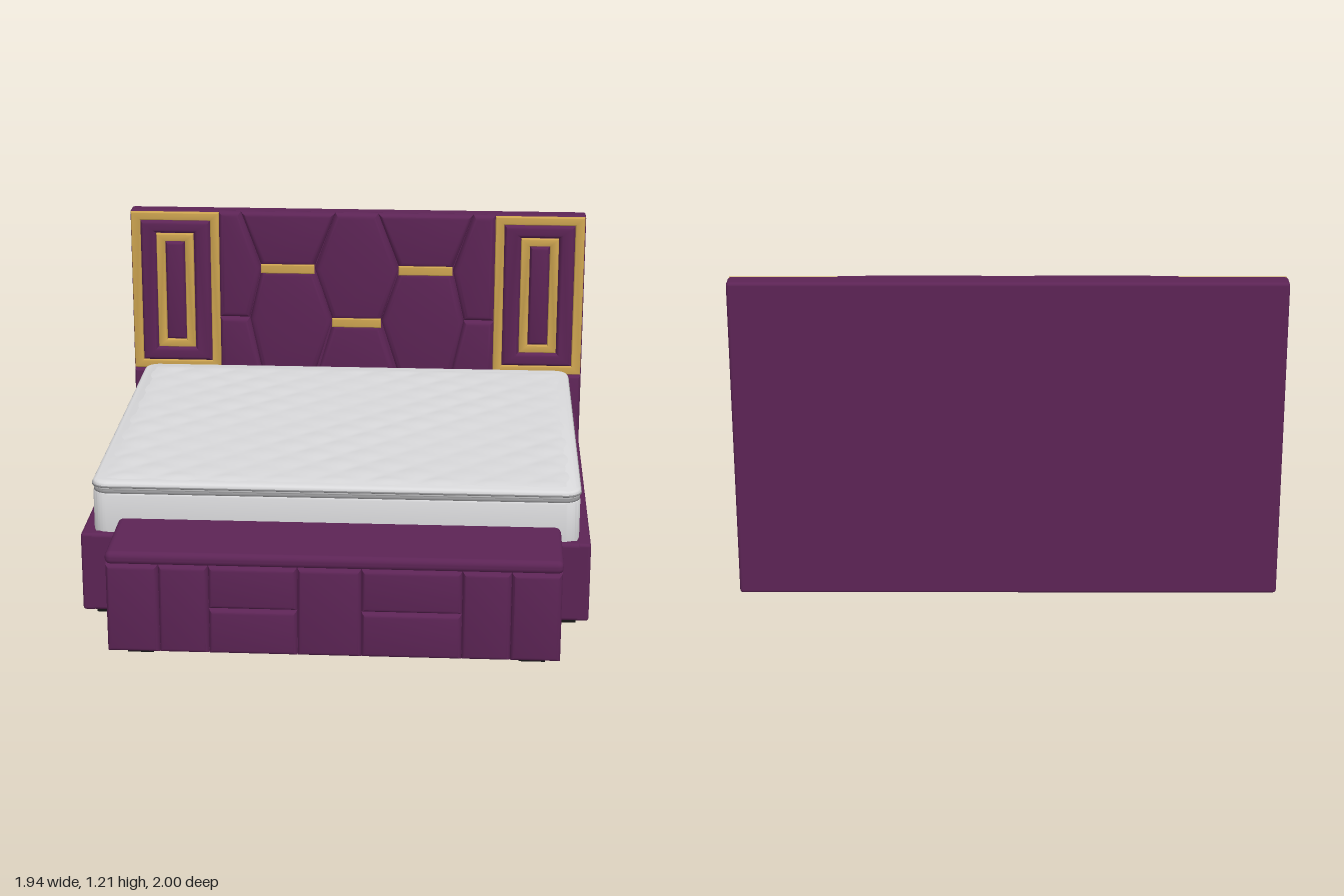
import * as THREE from 'three';
import { toCreasedNormals } from 'three/addons/utils/BufferGeometryUtils.js';
import { RoundedBoxGeometry } from 'three/addons/geometries/RoundedBoxGeometry.js';

const material = (name, color) => {
  const m = new THREE.MeshStandardMaterial({ color });
  m.name = name;
  return m;
};

export function createModel() {
  const velvet = material('purple velvet', 0x5c2455);
  const gold = material('gold trim', 0xcda450);
  const fabric = material('mattress fabric', 0xd8d8da);
  const piping = material('grey piping', 0x8e8e90);
  const rubber = material('black feet', 0x151515);

  const model = new THREE.Group();
  model.name = 'bed';
  const group = (name) => {
    const g = new THREE.Group();
    g.name = name;
    model.add(g);
    return g;
  };
  const add = (parent, name, geometry, mat) => {
    const mesh = new THREE.Mesh(geometry, mat);
    mesh.name = name;
    parent.add(mesh);
    return mesh;
  };

  // Rounded box given by its extents
  const block = (parent, name, x0, x1, y0, y1, z0, z1, r, mat = velvet) => {
    const g = new RoundedBoxGeometry(x1 - x0, y1 - y0, z1 - z0, 3, r);
    add(parent, name, g, mat).position.set((x0 + x1) / 2, (y0 + y1) / 2, (z0 + z1) / 2);
  };
  const rect = (x0, x1, y0, y1) => [[x0, y0], [x1, y0], [x1, y1], [x0, y1]];
  const outline = (pts) => pts.map(([x, y]) => new THREE.Vector2(x, y));

  // Padded panel: bevelled outline whose front face lies at the given z
  const pad = (parent, name, pts, front, mat = velvet, size = 0.025, thick = 0.028, hole = null) => {
    const shape = new THREE.Shape(outline(pts));
    if (hole) shape.holes.push(new THREE.Path(outline(hole).reverse()));
    const g = new THREE.ExtrudeGeometry(shape, {
      depth: 0.002, bevelThickness: thick, bevelSize: size, bevelOffset: -size, bevelSegments: 4,
    });
    g.translate(0, 0, front - thick - 0.002);
    add(parent, name, toCreasedNormals(g, 0.7), mat);
  };

  // Headboard
  const head = group('headboard');
  block(head, 'headboardSlab', -0.97, 0.97, 0.02, 1.21, -1, -0.927, 0.012);
  const F = -0.9;
  pad(head, 'centreHexagon', [[-0.105, 0.74], [0.105, 0.74], [0.18, 0.965], [0.09, 1.21], [-0.09, 1.21], [-0.18, 0.965]], F);
  pad(head, 'lowerCentrePad', [[-0.18, 0.46], [0.18, 0.46], [0.105, 0.72], [-0.105, 0.72]], F);
  pad(head, 'centreGoldBar', rect(-0.105, 0.105, 0.71, 0.75), -0.896, gold, 0.006, 0.006);
  for (const s of [-1, 1]) {
    const flip = (pts) => {
      const p = pts.map(([x, y]) => [x * s, y]);
      return s < 0 ? p.reverse() : p;
    };
    pad(head, 'sideHexagon', flip([[0.18, 0.5], [0.41, 0.5], [0.46, 0.74], [0.41, 0.955], [0.18, 0.955], [0.105, 0.74]]), F);
    pad(head, 'upperPad', flip([[0.18, 0.975], [0.41, 0.975], [0.495, 1.21], [0.09, 1.21]]), F);
    pad(head, 'upperSidePad', flip([[0.46, 0.745], [0.59, 0.745], [0.59, 1.21], [0.495, 1.21], [0.41, 0.965]]), F);
    pad(head, 'lowerSidePad', flip([[0.41, 0.5], [0.59, 0.5], [0.59, 0.745], [0.46, 0.745]]), F);
    pad(head, 'goldBar', flip(rect(0.18, 0.41, 0.945, 0.985)), -0.896, gold, 0.006, 0.006);
    // Framed wing panel
    pad(head, 'outerGoldFrame', flip(rect(0.588, 0.966, 0.51, 1.205)), -0.908, gold, 0.006, 0.012,
      flip(rect(0.627, 0.925, 0.548, 1.168)));
    pad(head, 'wingPad', flip(rect(0.625, 0.927, 0.546, 1.17)), F, velvet, 0.018, 0.028,
      flip(rect(0.698, 0.858, 0.608, 1.112)));
    pad(head, 'innerGoldFrame', flip(rect(0.698, 0.858, 0.608, 1.112)), -0.902, gold, 0.005, 0.012,
      flip(rect(0.736, 0.82, 0.642, 1.078)));
    pad(head, 'wingCentrePad', flip(rect(0.736, 0.82, 0.642, 1.078)), F, velvet, 0.015, 0.028);
    pad(head, 'wingLowerPad', flip(rect(0.588, 0.968, 0.025, 0.508)), F, velvet, 0.012, 0.028);
  }

  // Bed frame: base and padded rails
  const frame = group('bedFrame');
  block(frame, 'base', -0.93, 0.93, 0.03, 0.31, -0.93, 0.6, 0.01);
  block(frame, 'footRail', -0.95, 0.95, 0.03, 0.34, 0.575, 0.622, 0.015);
  for (const s of [-1, 1]) {
    for (const [z0, z1] of [[-0.93, 0.012], [0.012, 0.622]]) {
      const a = 0.9 * s, b = 0.952 * s;
      block(frame, 'sideRail', Math.min(a, b), Math.max(a, b), 0.03, 0.34, z0, z1, 0.012);
    }
  }

  // Mattress: stacked rounded slabs with a quilted top
  const mattress = group('mattress');
  const slab = (name, hx, z0, z1, y0, y1, bevel, mat) => {
    const r = 0.06, hz = (z1 - z0) / 2, s = new THREE.Shape();
    s.absarc(hx - r, hz - r, r, 0, Math.PI / 2);
    s.absarc(-hx + r, hz - r, r, Math.PI / 2, Math.PI);
    s.absarc(-hx + r, -hz + r, r, Math.PI, Math.PI * 1.5);
    s.absarc(hx - r, -hz + r, r, Math.PI * 1.5, Math.PI * 2);
    const g = new THREE.ExtrudeGeometry(s, {
      depth: y1 - y0 - 2 * bevel, bevelThickness: bevel, bevelSize: bevel, bevelOffset: -bevel,
      bevelSegments: 4, curveSegments: 8,
    });
    g.rotateX(-Math.PI / 2).translate(0, y0 + bevel, (z0 + z1) / 2);
    add(mattress, name, toCreasedNormals(g, 0.7), mat);
  };
  slab('mattressBody', 0.91, -0.893, 0.598, 0.3, 0.497, 0.012, fabric);
  slab('lowerPiping', 0.908, -0.893, 0.596, 0.49, 0.505, 0.005, piping);
  slab('pillowTop', 0.912, -0.895, 0.6, 0.502, 0.537, 0.016, fabric);
  slab('upperPiping', 0.914, -0.897, 0.602, 0.515, 0.523, 0.003, piping);
  const quilt = new THREE.PlaneGeometry(1.78, 1.45, 90, 74).rotateX(-Math.PI / 2);
  const p = quilt.attributes.position;
  for (let i = 0; i < p.count; i++) {
    const x = p.getX(i), z = p.getZ(i);
    const edge = Math.min(1, Math.min(0.89 - Math.abs(x), 0.725 - Math.abs(z)) / 0.06);
    const puff = Math.abs(Math.sin((x + z) * 16) * Math.sin((x - z) * 16));
    const drift = 0.5 + 0.5 * Math.sin(x * 7 + 2 * Math.sin(z * 5));
    p.setY(i, 0.534 + edge * (0.005 + puff * (0.003 + 0.003 * drift)));
  }
  quilt.computeVertexNormals();
  add(mattress, 'quiltedTop', quilt, fabric).position.z = -0.147;

  // Storage bench at the foot
  const bench = group('bench');
  block(bench, 'benchBody', -0.8, 0.835, 0.03, 0.375, 0.635, 0.972, 0.015);
  block(bench, 'benchLid', -0.803, 0.838, 0.365, 0.415, 0.63, 0.985, 0.022);
  const cuts = [-0.8, -0.61, -0.43, -0.11, 0.12, 0.48, 0.655, 0.835];
  for (let i = 0; i < 7; i++) {
    const rows = i === 2 || i === 4 ? [0.032, 0.207, 0.372] : [0.032, 0.372];
    for (let j = 0; j + 1 < rows.length; j++) {
      pad(bench, 'benchFrontPad', rect(cuts[i], cuts[i + 1], rows[j], rows[j + 1]), 0.998, velvet, 0.018, 0.027);
    }
  }

  // Feet
  const feet = group('feet');
  const foot = (x, z, h) =>
    add(feet, 'foot', new THREE.BoxGeometry(0.095, h, 0.07), rubber).position.set(x, h / 2, z);
  for (const x of [-0.86, 0.86]) for (const z of [-0.84, 0.53]) foot(x, z, 0.035);
  for (const x of [-0.69, 0.735]) foot(x, 0.885, 0.04);

  return model;
}
